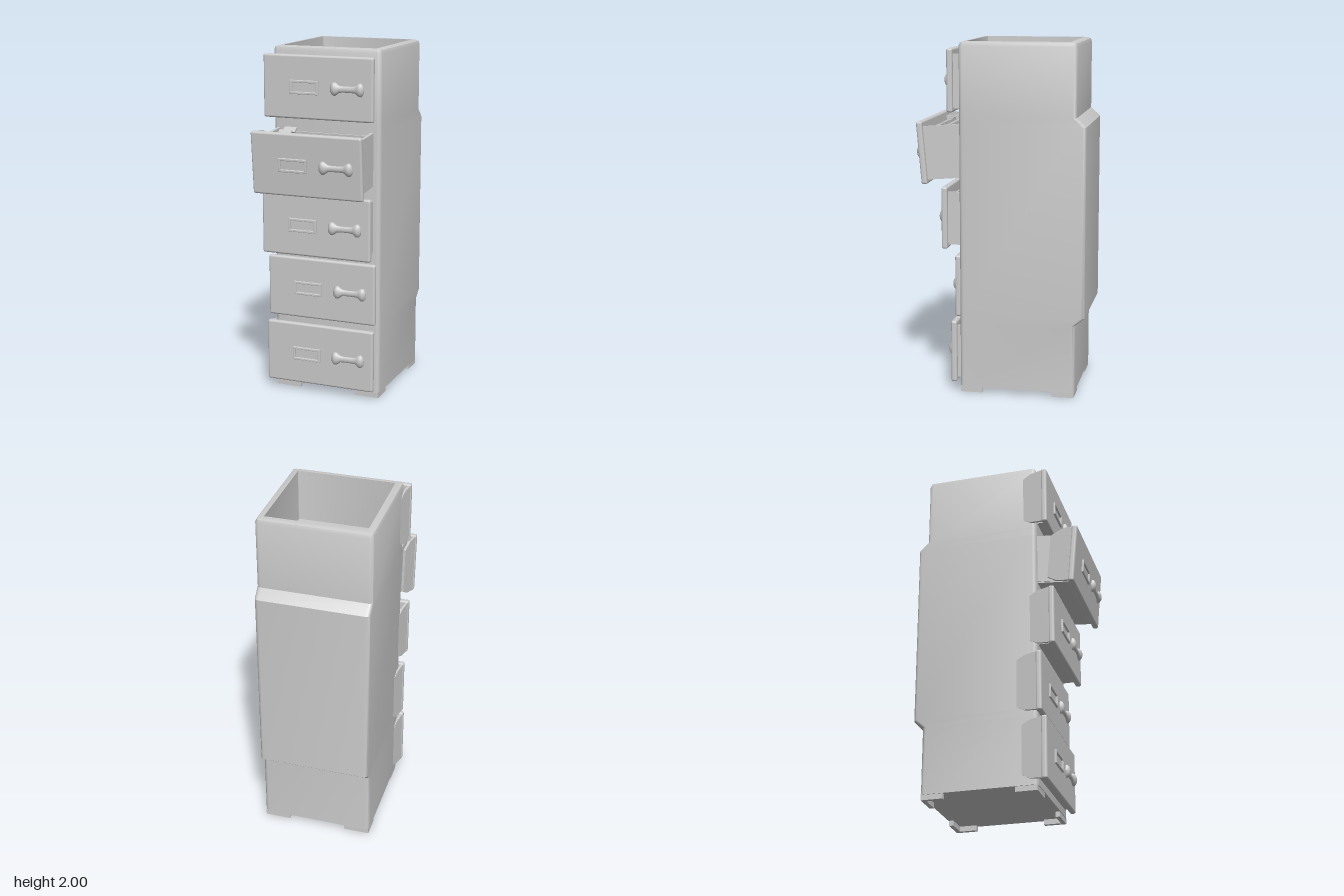
import * as THREE from 'three';
import { toCreasedNormals, mergeVertices } from 'three/addons/utils/BufferGeometryUtils.js';
import { RoundedBoxGeometry } from 'three/addons/geometries/RoundedBoxGeometry.js';

const grey = new THREE.MeshStandardMaterial({ color: 0xcccccc, side: THREE.DoubleSide });

function add(parent, geometry, name, x = 0, y = 0, z = 0) {
  const mesh = new THREE.Mesh(geometry, grey);
  mesh.name = name;
  mesh.position.set(x, y, z);
  parent.add(mesh);
  return mesh;
}
const box = (parent, name, w, h, d, x, y, z) => add(parent, new THREE.BoxGeometry(w, h, d), name, x, y, z);

const HALF_W = 0.322, FRONT = 0.33;

// Cabinet shell: rounded rectangles lofted upwards, over the rim and down into the tray
function shellGeometry() {
  const rings = [ // y, inset, back z
    [0.03, 0, -0.33], [0.42, 0, -0.33], [0.465, 0, -0.383], [1.54, 0, -0.383],
    [1.59, 0, -0.33], [1.975, 0, -0.33], [1.993, 0.007, -0.33], [2, 0.025, -0.33],
    [2, 0.042, -0.33], [1.7, 0.042, -0.33],
  ];
  const pos = [], idx = [], steps = 4, n = 4 * (steps + 1);
  for (const [y, inset, back] of rings) {
    const r = Math.max(0.004, 0.024 - inset);
    const x = HALF_W - inset - r, zf = FRONT - inset - r, zb = back + inset + r;
    const corners = [[x, zf], [-x, zf], [-x, zb], [x, zb]];
    corners.forEach(([cx, cz], k) => {
      for (let s = 0; s <= steps; s++) {
        const a = (k + s / steps) * Math.PI / 2;
        pos.push(cx + r * Math.cos(a), y, cz + r * Math.sin(a));
      }
    });
  }
  for (let j = 0; j < rings.length - 1; j++) {
    for (let i = 0; i < n; i++) {
      const a = j * n + i, b = j * n + (i + 1) % n;
      idx.push(a, a + n, b, b, a + n, b + n);
    }
  }
  // underside and tray floor
  const last = (rings.length - 1) * n;
  for (let i = 1; i < n - 1; i++) {
    idx.push(0, i, i + 1);
    idx.push(last, last + i + 1, last + i);
  }
  const g = new THREE.BufferGeometry();
  g.setAttribute('position', new THREE.Float32BufferAttribute(pos, 3));
  g.setIndex(idx);
  return toCreasedNormals(mergeVertices(g), 0.6);
}

// Bone-shaped pull, turned about the x axis
function handleGeometry() {
  const half = [[0, 0.098], [0.024, 0.095], [0.037, 0.083], [0.037, 0.07], [0.028, 0.057], [0.019, 0.046], [0.017, 0.02]];
  const pts = [...half.map(([r, t]) => [r, -t]), ...half.slice().reverse()].map(([r, t]) => new THREE.Vector2(r, t));
  return new THREE.LatheGeometry(pts, 20).rotateZ(Math.PI / 2).scale(1, 1, 0.6);
}

// Rectangular frame around the label
function labelFrameGeometry() {
  const rect = (Type, w, h) => {
    const s = new Type();
    s.moveTo(-w, -h); s.lineTo(w, -h); s.lineTo(w, h); s.lineTo(-w, h); s.closePath();
    return s;
  };
  const shape = rect(THREE.Shape, 0.082, 0.036);
  shape.holes.push(rect(THREE.Path, 0.074, 0.028));
  return new THREE.ExtrudeGeometry(shape, { depth: 0.01, bevelSize: 0.003, bevelThickness: 0.003, bevelSegments: 2 });
}

// Tapering plate that wraps back from one end of a drawer front
function lipGeometry(h) {
  const s = new THREE.Shape();
  s.moveTo(0, -h / 2); s.lineTo(0.09, -h / 2 + 0.01); s.lineTo(0.15, -h / 2 + 0.04);
  s.lineTo(0.15, h / 2 - 0.04); s.lineTo(0.09, h / 2 - 0.01); s.lineTo(0, h / 2);
  return new THREE.ExtrudeGeometry(s, { depth: 0.014, bevelEnabled: false }).rotateY(Math.PI / 2);
}

const handle = handleGeometry(), labelFrame = labelFrameGeometry();

// Drawer with its origin at the centre of the outer front face
function makeDrawer(height, front, tilt) {
  const drawer = new THREE.Group();
  add(drawer, new RoundedBoxGeometry(0.655, height, 0.034, 4, 0.012), 'drawerFront', 0, 0, -0.017);
  add(drawer, lipGeometry(height - 0.01), 'drawerFrontLip', -0.326, 0, -0.014).rotation.y = -0.2;
  add(drawer, labelFrame, 'labelFrame', -0.078, 0, -0.002);
  add(drawer, handle, 'handle', 0.178, 0, 0.003);

  // open-topped box running back into the cabinet
  const depth = front - FRONT + 0.025, mid = -depth / 2 - 0.01, boxH = height - 0.06;
  box(drawer, 'drawerFloor', 0.57, 0.015, depth, 0.015, -boxH / 2, mid);
  for (const side of [-1, 1]) {
    box(drawer, 'drawerSide', 0.018, boxH, depth, 0.015 + side * 0.28, 0, mid);
  }
  // hanging files with index tabs
  let k = 0;
  for (let z = -0.055; z > -depth + 0.015; z -= 0.034, k++) {
    box(drawer, 'file', 0.53, boxH - 0.03, 0.009, 0.015, -0.005 + 0.008 * (k % 2), z);
    if (k % 2) box(drawer, 'fileTab', 0.075, 0.012, 0.042, -0.19, boxH / 2 - 0.008, z).rotation.x = 0.5;
  }
  drawer.rotation.x = tilt;
  return drawer;
}

export function createModel() {
  const model = new THREE.Group();
  model.name = 'filingCabinet';
  const cabinet = new THREE.Group();
  cabinet.name = 'cabinet';
  cabinet.position.set(0.0175, 0, -0.1);
  cabinet.rotation.y = -0.055;
  model.add(cabinet);

  add(cabinet, shellGeometry(), 'cabinetShell');

  // angled corner feet
  for (const sx of [-1, 1]) {
    for (const sz of [-1, 1]) {
      box(cabinet, 'foot', 0.15, 0.035, 0.025, sx * (HALF_W - 0.079), 0.0175, sz * (FRONT - 0.0165));
      box(cabinet, 'foot', 0.025, 0.035, 0.125, sx * (HALF_W - 0.0165), 0.0175, sz * (FRONT - 0.0665));
    }
  }

  // drawers: bottom y, top y, front z, tilt
  const drawers = [
    [0.05, 0.41, 0.387, 0], [0.44, 0.795, 0.36, 0], [0.83, 1.185, 0.437, 0],
    [1.195, 1.55, 0.565, 0.085], [1.605, 1.96, 0.402, 0],
  ];
  drawers.forEach(([y0, y1, z, tilt], i) => {
    const d = makeDrawer(y1 - y0, z, tilt);
    d.name = `drawer${i + 1}`;
    d.position.set(-0.023, (y0 + y1) / 2, z);
    cabinet.add(d);
  });
  return model;
}
